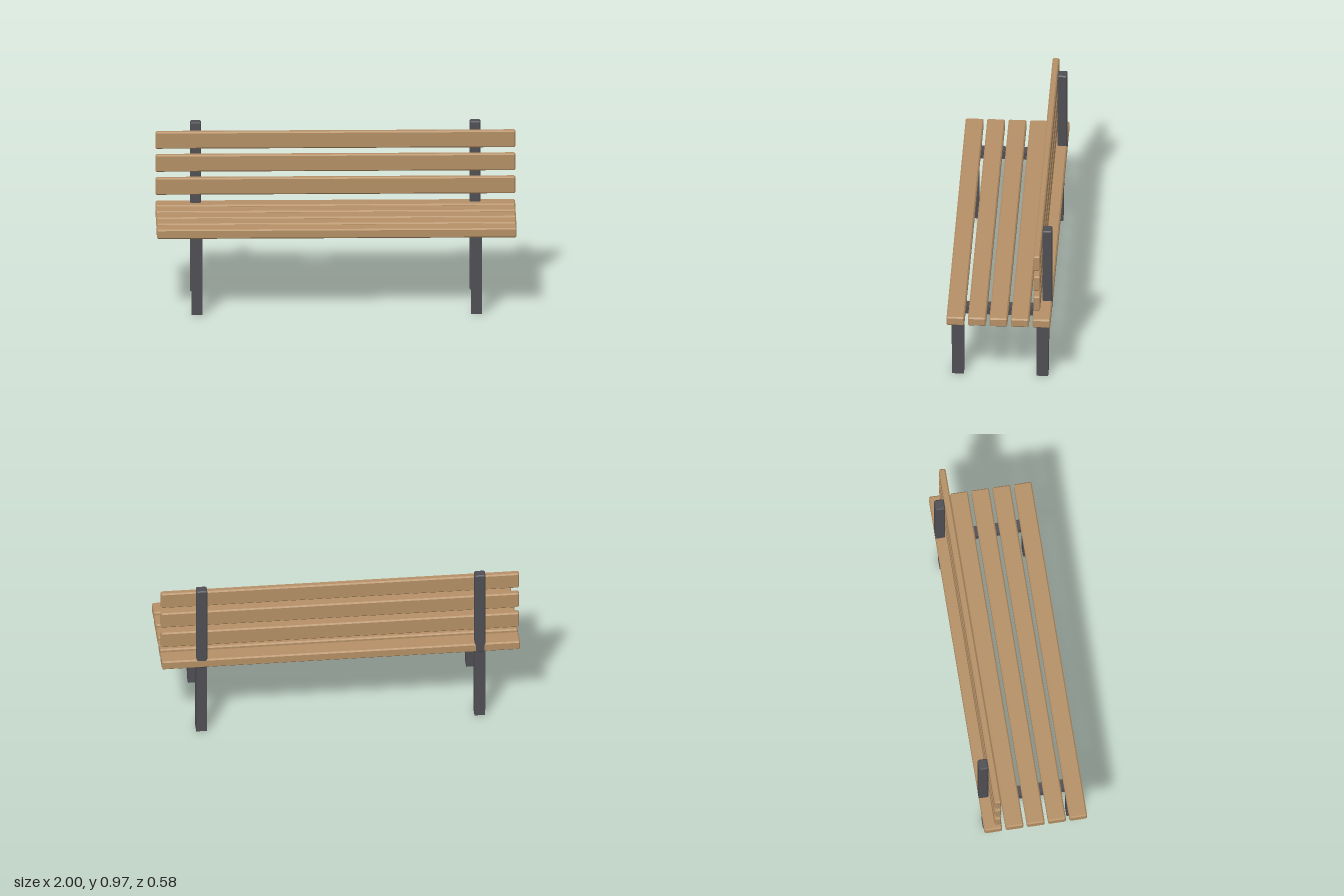
import * as THREE from 'three';
import { ConvexGeometry } from 'three/addons/geometries/ConvexGeometry.js';

const wood = new THREE.MeshStandardMaterial({ color: 0xb59066 });
wood.name = 'warm wood';
const steel = new THREE.MeshStandardMaterial({ color: 0x504f54 });
steel.name = 'dark steel';

// Box with flat chamfered edges
function chamferBox(w, h, d, c) {
  const points = [];
  for (const sx of [-1, 1]) for (const sy of [-1, 1]) for (const sz of [-1, 1]) {
    const x = w / 2, y = h / 2, z = d / 2;
    points.push(
      new THREE.Vector3(sx * x, sy * (y - c), sz * (z - c)),
      new THREE.Vector3(sx * (x - c), sy * y, sz * (z - c)),
      new THREE.Vector3(sx * (x - c), sy * (y - c), sz * z));
  }
  return new ConvexGeometry(points);
}

// Leg whose outer face leans out slightly towards the top
function legGeometry(side) {
  const geometry = new THREE.BoxGeometry(0.06, 0.447, 0.067);
  const pos = geometry.attributes.position;
  for (let i = 0; i < pos.count; i++) {
    const outer = pos.getZ(i) * side > 0;
    const top = pos.getY(i) > 0;
    pos.setZ(i, side * (outer ? (top ? 0.273 : 0.267) : 0.202));
  }
  geometry.computeVertexNormals();
  return geometry;
}

export function createModel() {
  const bench = new THREE.Group();
  bench.name = 'bench';

  const add = (name, geometry, material, x, y, z) => {
    const mesh = new THREE.Mesh(geometry, material);
    mesh.name = name;
    mesh.position.set(x, y, z);
    bench.add(mesh);
  };

  // Seat planks
  const seatPlank = chamferBox(2, 0.054, 0.1, 0.007);
  for (let i = 0; i < 5; i++) add('seatPlank', seatPlank, wood, 0, 0.474, 0.239 - i * 0.1195);

  // Backrest planks
  const backPlank = chamferBox(2, 0.097, 0.037, 0.007);
  for (let i = 0; i < 3; i++) add('backPlank', backPlank, wood, 0, 0.607 + i * 0.1335, -0.2135);

  // Mirrored steel supports
  const post = chamferBox(0.06, 0.52, 0.054, 0.006);
  const bar = new THREE.BoxGeometry(0.06, 0.046, 0.41);
  for (const x of [-0.777, 0.777]) {
    add('frontLeg', legGeometry(1), steel, x, 0.2235, 0);
    add('backLeg', legGeometry(-1), steel, x, 0.2235, 0);
    add('seatBar', bar, steel, x, 0.424, 0);
    add('backPost', post, steel, x, 0.706, -0.262);
  }
  return bench;
}
